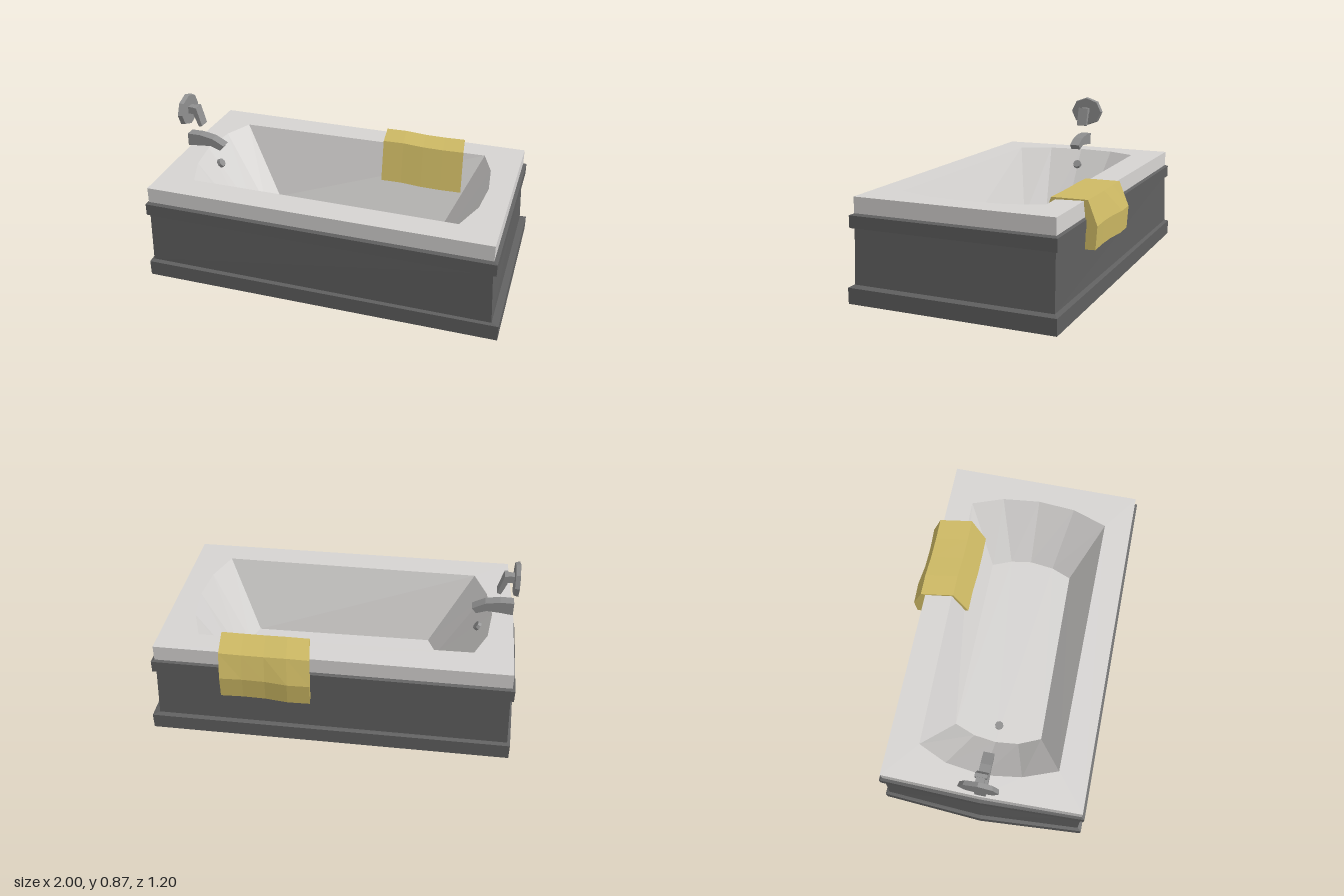
import * as THREE from 'three';

const mat = (name, color, side = THREE.FrontSide) =>
  Object.assign(new THREE.MeshStandardMaterial({ color, side, flatShading: true }), { name });

// Flat-shaded geometry from a list of quads
function quadGeometry(quads) {
  const pos = [];
  for (const [a, b, c, d] of quads) pos.push(...a, ...b, ...c, ...a, ...c, ...d);
  const g = new THREE.BufferGeometry();
  g.setAttribute('position', new THREE.Float32BufferAttribute(pos, 3));
  g.computeVertexNormals();
  return g;
}

// Quads joining successive closed rings of equal length
function bands(rings) {
  const quads = [];
  for (let r = 0; r + 1 < rings.length; r++) {
    const lo = rings[r], hi = rings[r + 1], n = lo.length;
    for (let i = 0; i < n; i++) quads.push([lo[i], lo[(i + 1) % n], hi[(i + 1) % n], hi[i]]);
  }
  return quads;
}

const level = (outline, y) => outline.map(([x, z]) => [x, y, z]);
const toShape = (outline) => new THREE.Shape(outline.map(([x, z]) => new THREE.Vector2(x, -z)));

export function createModel() {
  const group = new THREE.Group();
  group.name = 'bathtub';
  const white = mat('white enamel', 0xd6d4d2, THREE.DoubleSide);
  const dark = mat('dark grey panel', 0x5f5f5f, THREE.DoubleSide);
  const metal = mat('grey metal', 0x8f8f8f);
  const cloth = mat('yellow cloth', 0xcdb964);

  const add = (name, geometry, material, parent = group) => {
    const m = new THREE.Mesh(geometry, material);
    m.name = name;
    parent.add(m);
    return m;
  };

  // Outlines: front left, front right, back right, back left, bulge of the tap end
  const plinth = [[-0.955, 0.595], [1, 0.572], [0.985, -0.55], [-0.97, -0.54], [-1, 0.02]];
  const bodyLow = [[-0.94, 0.572], [0.962, 0.557], [0.95, -0.525], [-0.955, -0.52], [-0.98, 0.02]];
  const bodyTop = [[-0.932, 0.568], [0.945, 0.555], [0.935, -0.522], [-0.94, -0.515], [-0.957, 0.02]];
  const trim = [[-0.945, 0.584], [0.965, 0.573], [0.953, -0.537], [-0.957, -0.53], [-0.968, 0.02]];
  const rim = [[-0.933, 0.566], [0.945, 0.554], [0.935, -0.525], [-0.943, -0.515], [-0.95, 0.02]];

  // Hollow surround, open underneath
  add('plinth', quadGeometry(bands([level(plinth, 0), level(plinth, 0.085), level(bodyLow, 0.092)])), dark);
  add('sidePanels', quadGeometry(bands([level(bodyLow, 0.092), level(bodyTop, 0.385)])), dark);
  add('trimBand', quadGeometry(bands([
    level(bodyTop, 0.385), level(trim, 0.385), level(trim, 0.45), level(rim, 0.458)])), dark);
  add('rimEdge', quadGeometry(bands([level(rim, 0.458), level(rim, 0.543)])), white);

  // Basin: ten-sided opening tapering to the floor
  const opening = [[-0.74, -0.35], [-0.81, -0.19], [-0.835, 0.02], [-0.805, 0.22], [-0.735, 0.405],
    [0.735, 0.405], [0.8, 0.21], [0.815, 0], [0.79, -0.21], [0.725, -0.385]];
  const floor = [[-0.5, -0.23], [-0.545, -0.11], [-0.56, 0.02], [-0.545, 0.15], [-0.49, 0.275],
    [0.545, 0.255], [0.59, 0.14], [0.605, 0], [0.585, -0.12], [0.54, -0.23]];
  const floorY = 0.14;
  const deck = toShape(rim);
  deck.holes.push(toShape(opening));
  add('deck', new THREE.ShapeGeometry(deck).rotateX(-Math.PI / 2).translate(0, 0.543, 0), white);
  add('basinWalls', quadGeometry(bands([level(opening, 0.543), level(floor, floorY)])), white);
  add('basinFloor', new THREE.ShapeGeometry(toShape(floor)).rotateX(-Math.PI / 2).translate(0, floorY, 0), white);

  // Drain and overflow
  add('drain', new THREE.CylinderGeometry(0.025, 0.025, 0.012, 8), metal).position.set(-0.46, floorY + 0.003, 0.02);
  const overflow = add('overflow', new THREE.CylinderGeometry(0.025, 0.028, 0.03, 8), metal);
  overflow.position.set(-0.765, 0.452, 0.02);
  overflow.rotation.z = -0.97;

  // Parts with a side profile in x and y, extruded across z
  const slab = (points, width) => new THREE.ExtrudeGeometry(
    new THREE.Shape(points.map(([x, y]) => new THREE.Vector2(x, y))),
    { depth: width, bevelEnabled: false }).translate(0, 0, 0.026 - width / 2);

  add('spout', slab([[-0.945, 0.56], [-0.87, 0.57], [-0.8, 0.575], [-0.745, 0.555],
    [-0.72, 0.585], [-0.79, 0.622], [-0.87, 0.636], [-0.945, 0.635]], 0.06), metal);

  // Wall valve: octagonal plate, stem and lever
  const valve = new THREE.Group();
  valve.name = 'valve';
  group.add(valve);
  const plate = add('valvePlate', new THREE.CylinderGeometry(0.1, 0.106, 0.025, 8)
    .rotateZ(-Math.PI / 2).scale(1, 0.87, 1), metal, valve);
  plate.position.set(-0.943, 0.778, 0.025);
  add('valveStem', slab([[-0.935, 0.762], [-0.875, 0.762], [-0.875, 0.803], [-0.935, 0.803]], 0.045), metal, valve);
  add('valveLever', slab([[-0.895, 0.762], [-0.866, 0.692], [-0.846, 0.698], [-0.876, 0.805], [-0.895, 0.805]], 0.064), metal, valve);

  // Towel draped over the back rim: cross-sections in z and y, from back to front
  const outer = [[-0.58, 0.3], [-0.588, 0.42], [-0.542, 0.548], [-0.36, 0.553], [-0.285, 0.33]];
  const inner = [[-0.53, 0.3], [-0.535, 0.42], [-0.522, 0.535], [-0.372, 0.535], [-0.306, 0.33]];
  const wave = [-0.008, -0.012, 0.002, 0.004, -0.002];
  const loop = [...outer, ...inner.slice().reverse()];
  const sections = wave.map((w, s) => loop.map(([z, y], i) => {
    const hang = i < 2 ? 1 : i < 5 ? 0.35 : 0;
    return [0.09 + 0.12 * s + (z + 0.59) * 0.15, y + (hang && i > 1 ? -w * 0.4 : 0), z + w * hang];
  }));
  const towel = bands(sections);
  const first = sections[0], last = sections[sections.length - 1], n = loop.length;
  for (let i = 0; i < 4; i++) {
    towel.push([last[i], last[i + 1], last[n - 2 - i], last[n - 1 - i]]);
    towel.push([first[i + 1], first[i], first[n - 1 - i], first[n - 2 - i]]);
  }
  add('towel', quadGeometry(towel), cloth);

  return group;
}
